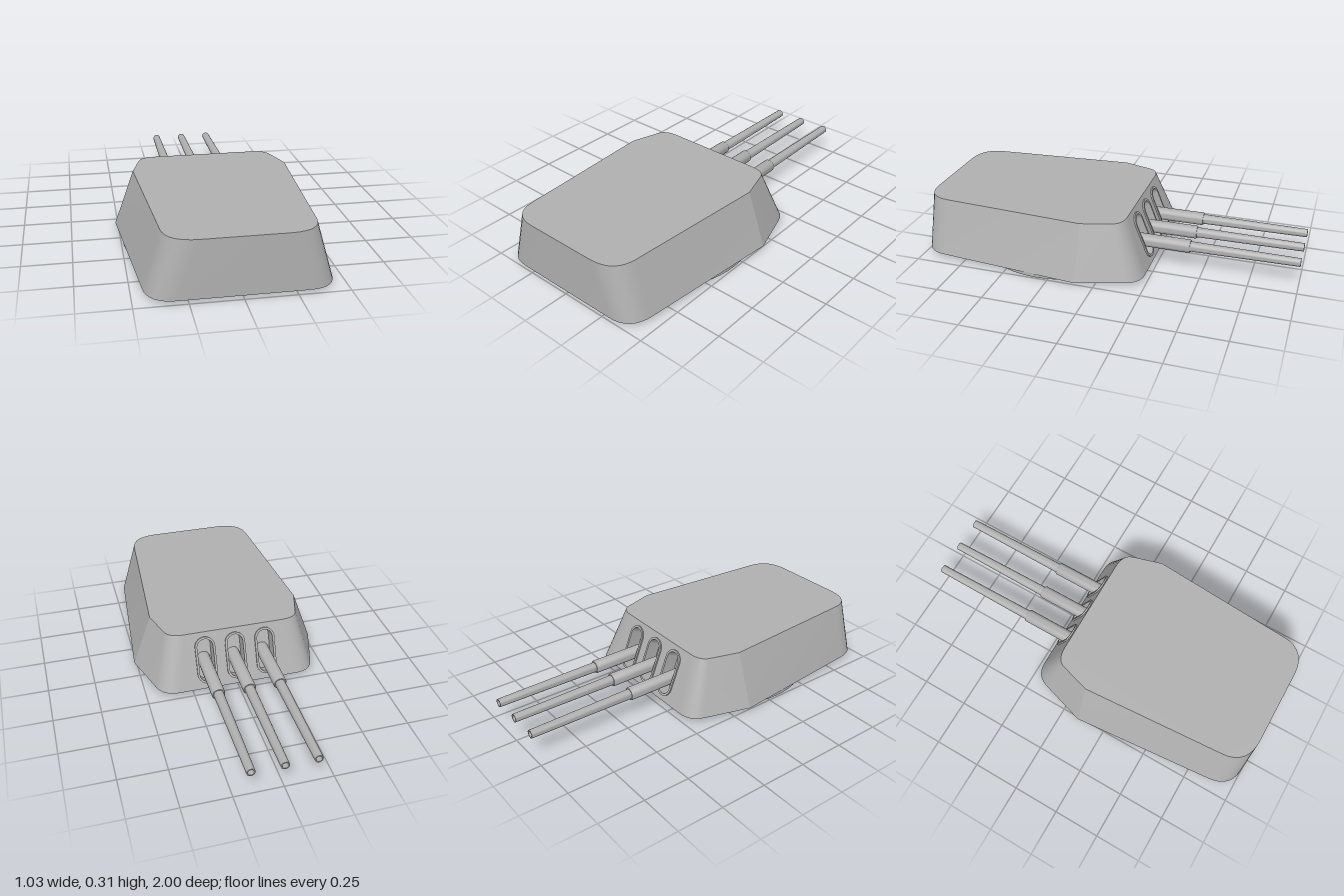
import * as THREE from 'three';
import { toCreasedNormals } from 'three/addons/utils/BufferGeometryUtils.js';

const BOTTOM = 0.02, TOP = 0.31, BACK_LOW = -0.23, BACK_HIGH = -0.115;
const BARREL_X = [-0.165, 0, 0.165], BARREL_Y = 0.135;

// Half outline from back to front with rounded corners, then mirrored
function outline(backX, backZ, backStart, wideX, frontX, frontStart) {
  const v = (x, z) => new THREE.Vector2(x, z);
  const wide = v(wideX, 0.095), back = v(backX, backZ), front = v(frontX, 1);
  const half = [
    ...new THREE.QuadraticBezierCurve(v(backStart, backZ), back, back.clone().lerp(wide, 0.25)).getPoints(8),
    wide,
    ...new THREE.QuadraticBezierCurve(front.clone().lerp(wide, 0.15), front, v(frontStart, 1)).getPoints(8),
  ];
  return [...half, ...half.map((p) => v(-p.x, p.y)).reverse()];
}

// Walls between two outlines, left open at the back
function loft(low, high) {
  const pos = [];
  for (let i = 0; i < low.length - 1; i++) {
    const a = [low[i].x, BOTTOM, low[i].y], b = [low[i + 1].x, BOTTOM, low[i + 1].y];
    const c = [high[i].x, TOP, high[i].y], d = [high[i + 1].x, TOP, high[i + 1].y];
    pos.push(...a, ...c, ...b, ...b, ...c, ...d);
  }
  const g = new THREE.BufferGeometry();
  g.setAttribute('position', new THREE.Float32BufferAttribute(pos, 3));
  return toCreasedNormals(g, 0.3);
}

// Upright capsule drawn into a shape or hole
function capsule(path, x, y, r, halfLength) {
  const h = halfLength - r;
  path.absarc(x, y + h, r, 0, Math.PI, false);
  path.absarc(x, y - h, r, Math.PI, Math.PI * 2, false);
  path.closePath();
  return path;
}

export function createModel() {
  const model = new THREE.Group();
  model.name = 'gunTurret';
  const grey = new THREE.MeshStandardMaterial({ color: 0xb0b0b0 });
  grey.name = 'turret grey';
  const add = (name, geometry, parent = model) => {
    const mesh = new THREE.Mesh(geometry, grey);
    mesh.name = name;
    parent.add(mesh);
    return mesh;
  };

  // Armoured housing
  const low = outline(0.415, BACK_LOW, 0.33, 0.515, 0.433, 0.3);
  const high = outline(0.35, BACK_HIGH, 0.27, 0.412, 0.35, 0.2);
  add('housingWalls', loft(low, high));
  const roof = new THREE.Shape(high.map((p) => new THREE.Vector2(p.x, -p.y)));
  add('roof', new THREE.ShapeGeometry(roof).rotateX(-Math.PI / 2)).position.y = TOP;
  add('underside', new THREE.ShapeGeometry(new THREE.Shape(low)).rotateX(Math.PI / 2)).position.y = BOTTOM;

  // Round turntable underneath
  add('turntable', new THREE.CylinderGeometry(0.49, 0.49, BOTTOM, 64)).position.set(0, BOTTOM / 2, 0.31);

  // Sloping gun face with slots, drawn in its own plane
  const rise = TOP - BOTTOM, run = BACK_HIGH - BACK_LOW, slope = Math.hypot(rise, run);
  const face = new THREE.Group();
  face.name = 'gunFace';
  face.position.set(0, BOTTOM, BACK_LOW);
  face.quaternion.setFromRotationMatrix(new THREE.Matrix4().makeBasis(
    new THREE.Vector3(-1, 0, 0),
    new THREE.Vector3(0, rise / slope, run / slope),
    new THREE.Vector3(0, run / slope, -rise / slope)));
  model.add(face);
  const plate = new THREE.Shape([[-0.33, 0], [0.33, 0], [0.27, slope], [-0.27, slope]]
    .map(([x, y]) => new THREE.Vector2(x, y)));
  const mid = 0.157, depth = 0.07;
  for (const x of BARREL_X) {
    plate.holes.push(capsule(new THREE.Path(), x, mid, 0.05, 0.124));
    const rim = capsule(new THREE.Shape(), x, mid, 0.055, 0.129);
    rim.holes.push(capsule(new THREE.Path(), x, mid, 0.043, 0.117));
    const rimGeometry = new THREE.ExtrudeGeometry(rim, { depth: depth + 0.008, bevelEnabled: false, curveSegments: 12 });
    add('slotRim', toCreasedNormals(rimGeometry, 0.6), face).position.z = -depth;
    const floor = capsule(new THREE.Shape(), x, mid, 0.05, 0.124);
    add('slotFloor', new THREE.ShapeGeometry(floor), face).position.z = -depth + 0.002;
  }
  add('gunFacePlate', new THREE.ShapeGeometry(plate), face);

  // Guns: thick sleeve, tapering barrel and hollow muzzle
  const profile = (points) => toCreasedNormals(
    new THREE.LatheGeometry(points.map(([r, y]) => new THREE.Vector2(r, y)), 24).rotateX(-Math.PI / 2), 0.6);
  const sleeve = profile([[0, 0.1], [0.035, 0.1], [0.035, 0.425], [0.032, 0.43], [0, 0.43]]);
  const barrel = profile([[0.027, 0.42], [0.022, 1], [0.016, 1], [0.016, 0.92], [0, 0.92]]);
  for (const x of BARREL_X) {
    const gun = new THREE.Group();
    gun.name = 'gun';
    gun.position.set(x, BARREL_Y, 0);
    add('sleeve', sleeve, gun);
    add('barrel', barrel, gun);
    model.add(gun);
  }
  return model;
}
